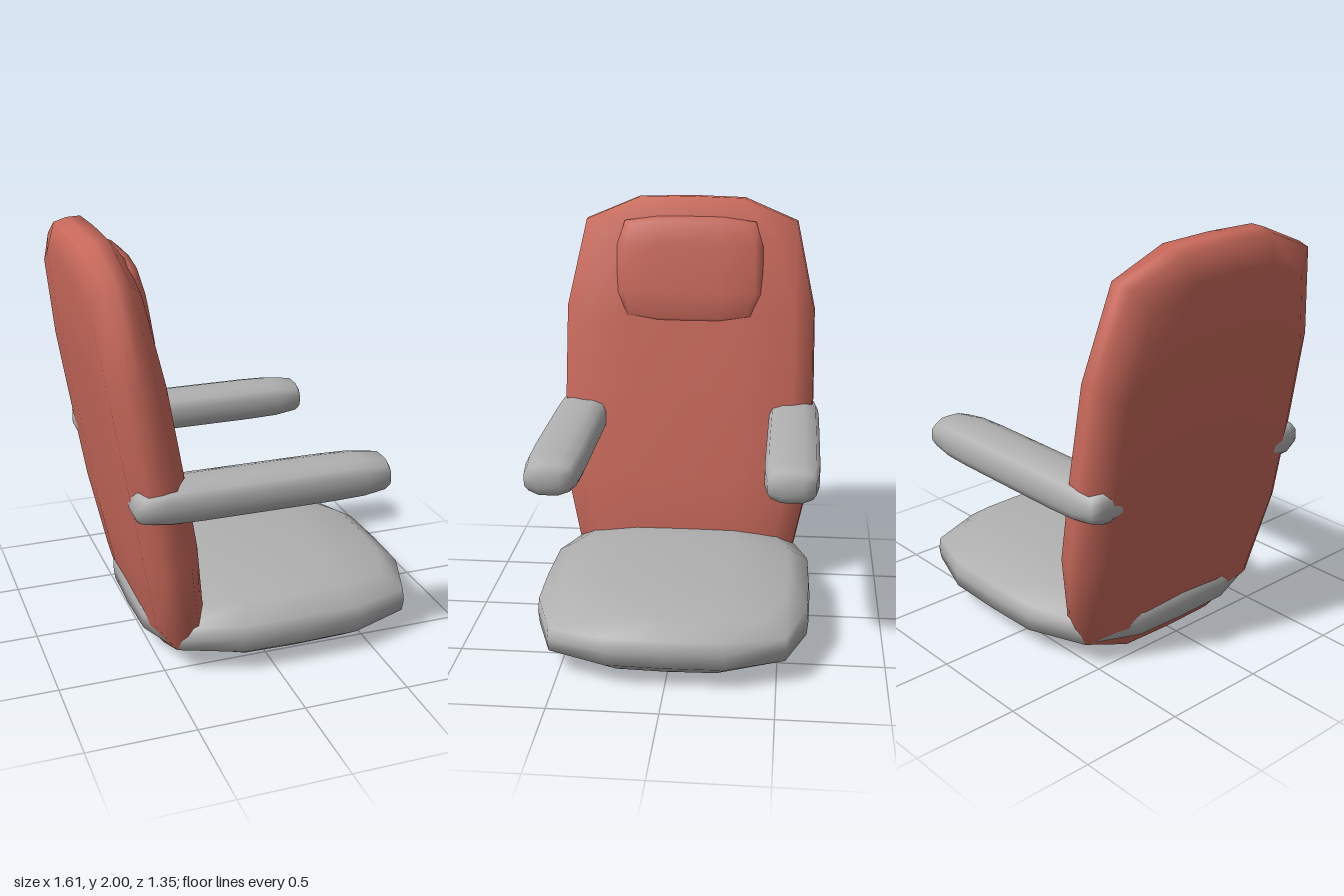
import * as THREE from 'three';
import { mergeVertices } from 'three/addons/utils/BufferGeometryUtils.js';

// Soft cushion: a segmented box whose edges and corners are drawn inward.
// half: half sizes; k: how much each axis shrinks towards the ends of the others.
function cushion(half, k, segs = [4, 4, 4], spread = [1, 1, 1]) {
  let g = new THREE.BoxGeometry(2, 2, 2, ...segs);
  g.deleteAttribute('uv');
  g.deleteAttribute('normal');
  g = mergeVertices(g);
  const pos = g.attributes.position;
  for (let i = 0; i < pos.count; i++) {
    const p = [pos.getX(i), pos.getY(i), pos.getZ(i)];
    const q = p.map((t, a) => {
      const b = p[(a + 1) % 3], c = p[(a + 2) % 3];
      const s = Math.sign(t) * Math.abs(t) ** spread[a];
      return half[a] * s * (1 - k[a] * b ** 4) * (1 - k[a] * c ** 4);
    });
    pos.setXYZ(i, ...q);
  }
  g.computeVertexNormals();
  return g;
}

export function createModel() {
  const model = new THREE.Group();
  model.name = 'armchair';
  const red = new THREE.MeshStandardMaterial({ color: 0xc9695b });
  red.name = 'red upholstery';
  const grey = new THREE.MeshStandardMaterial({ color: 0xb0b0b0 });
  grey.name = 'grey upholstery';

  const add = (parent, name, geometry, material, x, y, z) => {
    const mesh = new THREE.Mesh(geometry, material);
    mesh.name = name;
    mesh.position.set(x, y, z);
    parent.add(mesh);
  };

  // Seat cushion, open side towards +x
  add(model, 'seat', cushion([0.675, 0.165, 0.648], [0.15, 0.18, 0.16]), grey, 0.127, 0.175, 0);

  // Leaning backrest with its head pillow
  const back = new THREE.Group();
  back.name = 'backrest';
  back.position.set(-0.537, 1, 0);
  back.rotation.z = 0.165;
  add(back, 'backCushion', cushion([0.142, 1.01, 0.645], [0.1, 0.12, 0.16]), red, 0, 0, 0);
  add(back, 'headPillow', cushion([0.08, 0.268, 0.375], [0.12, 0.09, 0.11]), red, 0.09, 0.635, 0);
  model.add(back);

  // Armrests, mirrored
  const arm = cushion([0.605, 0.09, 0.128], [0.03, 0.2, 0.14], [6, 4, 4], [0.55, 1, 1]);
  for (const side of [-1, 1]) {
    add(model, side > 0 ? 'armrestNear' : 'armrestFar', arm, grey, -0.045, 0.89, side * 0.547);
  }
  return model;
}
